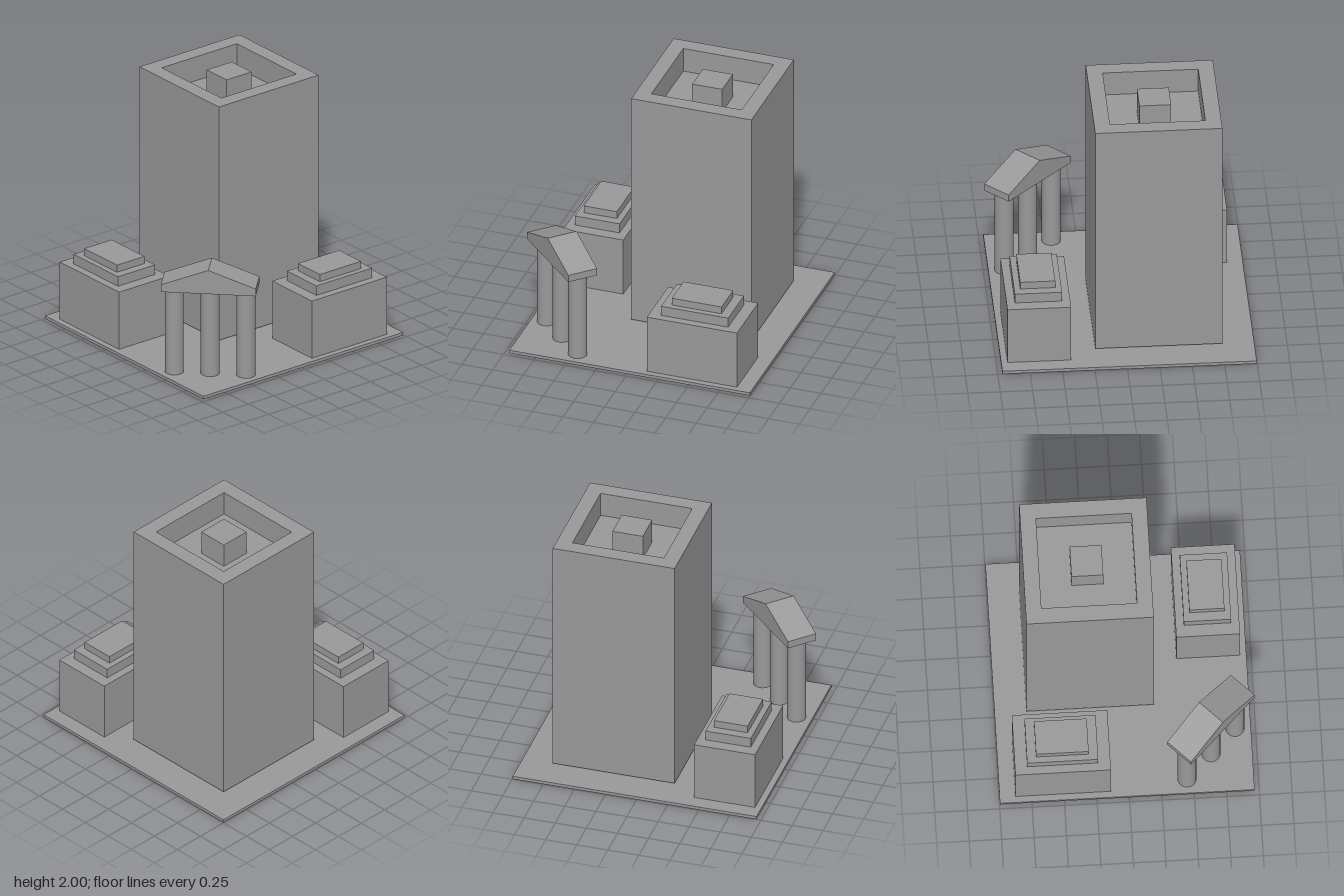
import * as THREE from 'three';

export function createModel() {
  const model = new THREE.Group();
  const stone = new THREE.MeshStandardMaterial({ color: 0x999999 });
  stone.name = 'grey stone';

  function add(parent, name, geometry, x = 0, y = 0, z = 0) {
    const mesh = new THREE.Mesh(geometry, stone);
    mesh.name = name;
    mesh.position.set(x, y, z);
    parent.add(mesh);
    return mesh;
  }
  // Box standing between two heights
  function block(parent, name, w, d, y0, y1, x = 0, z = 0) {
    return add(parent, name, new THREE.BoxGeometry(w, y1 - y0, d), x, (y0 + y1) / 2, z);
  }
  function group(name, x, z) {
    const g = new THREE.Group();
    g.name = name;
    g.position.set(x, 0, z);
    model.add(g);
    return g;
  }
  function square(PathType, h) {
    return new PathType([[-h, -h], [h, -h], [h, h], [-h, h]].map(([x, y]) => new THREE.Vector2(x, y)));
  }

  // Ground slab
  block(model, 'base', 1.96, 1.96, 0, 0.025, -0.016, -0.016);

  // Tower with a sunken roof and a central core, raised just above the slab
  const tower = group('tower', -0.26, -0.26);
  const roofY = 1.8;
  block(tower, 'towerBody', 0.98, 0.98, 0.04, roofY);
  const parapetShape = square(THREE.Shape, 0.49);
  parapetShape.holes.push(square(THREE.Path, 0.368));
  const parapet = new THREE.ExtrudeGeometry(parapetShape, { depth: 2 - roofY, bevelEnabled: false });
  add(tower, 'parapet', parapet.rotateX(-Math.PI / 2), 0, roofY, 0);
  block(tower, 'roofCore', 0.245, 0.245, roofY, 2);

  // Two matching stepped buildings, turned a quarter from each other
  const tiers = [
    [0.735, 0.49, 0.025, 0.505],
    [0.547, 0.364, 0.505, 0.585],
    [0.405, 0.27, 0.585, 0.645],
  ];
  for (const [name, x, z, turn] of [
    ['frontBuilding', -0.507, 0.67, 0],
    ['backBuilding', 0.67, -0.507, Math.PI / 2],
  ]) {
    const building = group(name, x, z);
    building.rotation.y = turn;
    tiers.forEach(([w, d, y0, y1], i) => block(building, `tier${i + 1}`, w, d, y0, y1));
  }

  // Gabled portico set diagonally across the front corner
  const portico = group('portico', 0.646, 0.646);
  portico.rotation.y = Math.PI / 4;
  const gable = new THREE.Shape([
    [-0.3675, 0.74], [0.3675, 0.74], [0.3675, 0.8], [0, 0.938], [-0.3675, 0.8],
  ].map(([x, y]) => new THREE.Vector2(x, y)));
  add(portico, 'gableRoof', new THREE.ExtrudeGeometry(gable, { depth: 0.245, bevelEnabled: false }), 0, 0, -0.1225);
  for (const x of [-0.277, 0, 0.277]) {
    add(portico, 'column', new THREE.CylinderGeometry(0.0725, 0.0725, 0.715, 32), x, 0.3825, 0);
  }

  return model;
}
